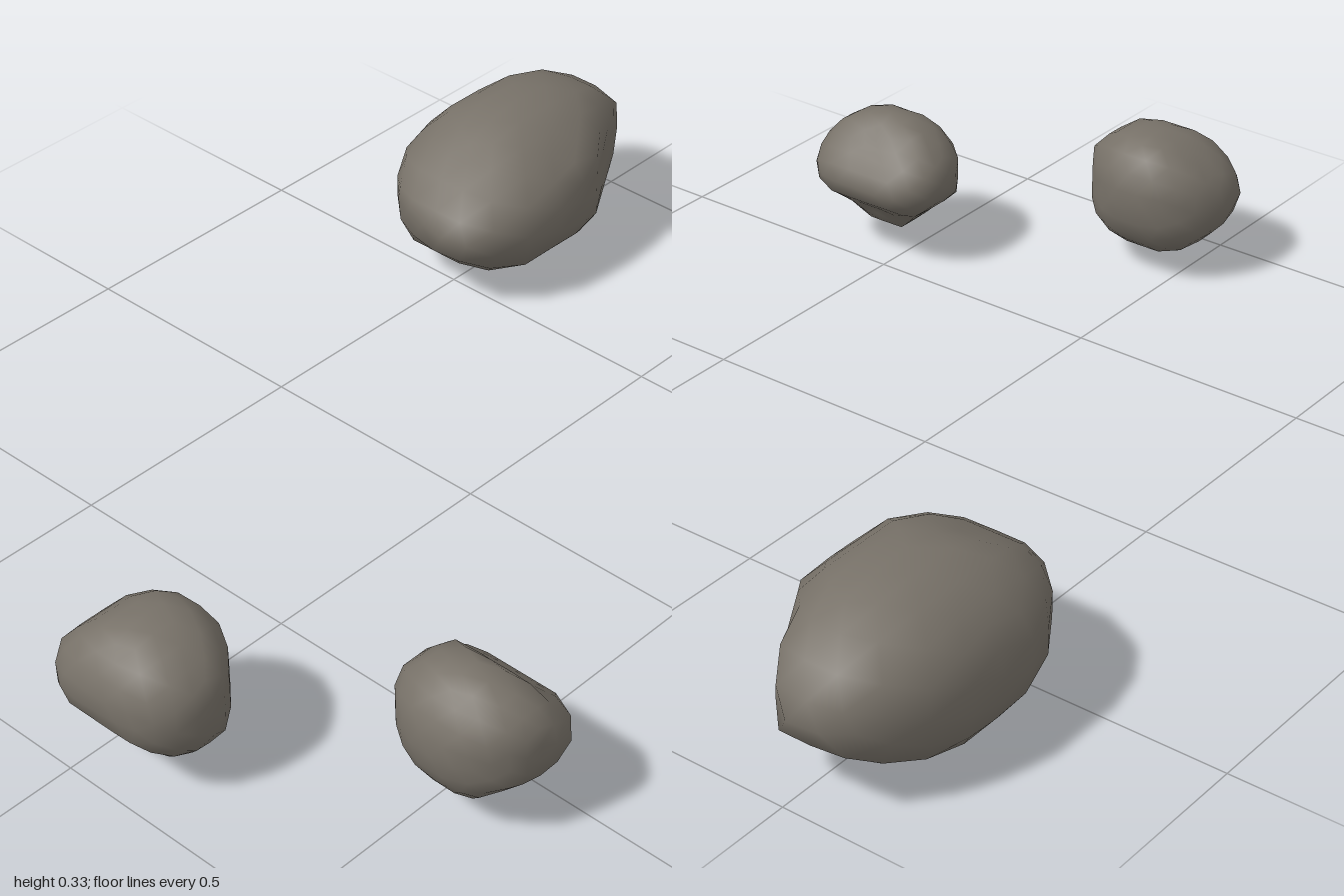
import * as THREE from 'three';
import { mergeVertices } from 'three/addons/utils/BufferGeometryUtils.js';

// Each outline holds eight radii, 45 degrees apart, relative to the rock's half size:
// front turns from +x to +y, top from +x to +z, side from +z to +y
const ROCKS = [
  {
    name: 'largeRock', centre: [0.7, 0.17, -0.51], half: [0.3, 0.17, 0.203],
    front: [1, 0.97, 0.97, 0.85, 1, 0.93, 1, 0.89],
    top: [1, 0.75, 0.91, 1.15, 0.94, 0.97, 1, 1.01],
    side: [0.99, 0.89, 0.97, 0.96, 0.97, 1.04, 1, 0.95],
  },
  {
    name: 'roundRock', centre: [-0.87, 0.168, 0.07], half: [0.13, 0.13, 0.16],
    front: [0.98, 1.1, 1, 0.99, 0.97, 0.84, 0.99, 0.98],
    top: [1, 0.92, 0.97, 1.03, 0.95, 1.12, 0.96, 0.93],
    side: [1.02, 1.01, 1, 0.89, 0.96, 0.95, 0.98, 1.01],
  },
  {
    name: 'lobedRock', centre: [-0.59, 0.17, 0.55], half: [0.12, 0.128, 0.162],
    front: [1, 0.77, 1, 0.98, 0.97, 0.98, 0.99, 0.72],
    top: [0.99, 1.11, 0.87, 0.89, 0.98, 0.94, 0.94, 1.11],
    side: [0.98, 0.98, 1, 0.95, 0.95, 0.77, 1, 0.78],
  },
];

// Smooth closed interpolation of the radii at the angle of (u,v)
function radiusAt(radii, u, v) {
  const n = radii.length;
  const a = ((Math.atan2(v, u) / (2 * Math.PI) + 1) % 1) * n;
  const i = Math.floor(a), t = a - i;
  const [p, q, r, s] = [-1, 0, 1, 2].map((k) => radii[(i + k + n) % n]);
  return q + 0.5 * t * (r - p + t * (2 * p - 5 * q + 4 * r - s + t * (3 * (q - r) + s - p)));
}

// Inverse square of the distance at which a direction meets an outline
const inverseSquare = (radii, u, v) => (u * u + v * v) / radiusAt(radii, u, v) ** 2;

// Push a sphere out to the rounded intersection of the three outlines
function rockGeometry({ half, front, top, side }) {
  const ball = new THREE.IcosahedronGeometry(1, 3);
  ball.deleteAttribute('normal');
  ball.deleteAttribute('uv');
  const geo = mergeVertices(ball, 1e-4);
  const pos = geo.attributes.position;
  const size = new THREE.Vector3(...half);
  const d = new THREE.Vector3();
  for (let i = 0; i < pos.count; i++) {
    d.fromBufferAttribute(pos, i);
    const f = inverseSquare(front, d.x, d.y);
    const t = inverseSquare(top, d.x, d.z);
    const s = inverseSquare(side, d.z, d.y);
    d.divideScalar(Math.sqrt(Math.max(f, t, s, 0.45 * (f + t + s)))).multiply(size);
    pos.setXYZ(i, d.x, d.y, d.z);
  }
  geo.computeVertexNormals();
  return geo;
}

export function createModel() {
  const group = new THREE.Group();
  group.name = 'rocks';
  const stone = new THREE.MeshStandardMaterial({ color: 0x777168 });
  stone.name = 'stone';
  for (const rock of ROCKS) {
    const mesh = new THREE.Mesh(rockGeometry(rock), stone);
    mesh.name = rock.name;
    mesh.position.set(...rock.centre);
    group.add(mesh);
  }
  return group;
}
